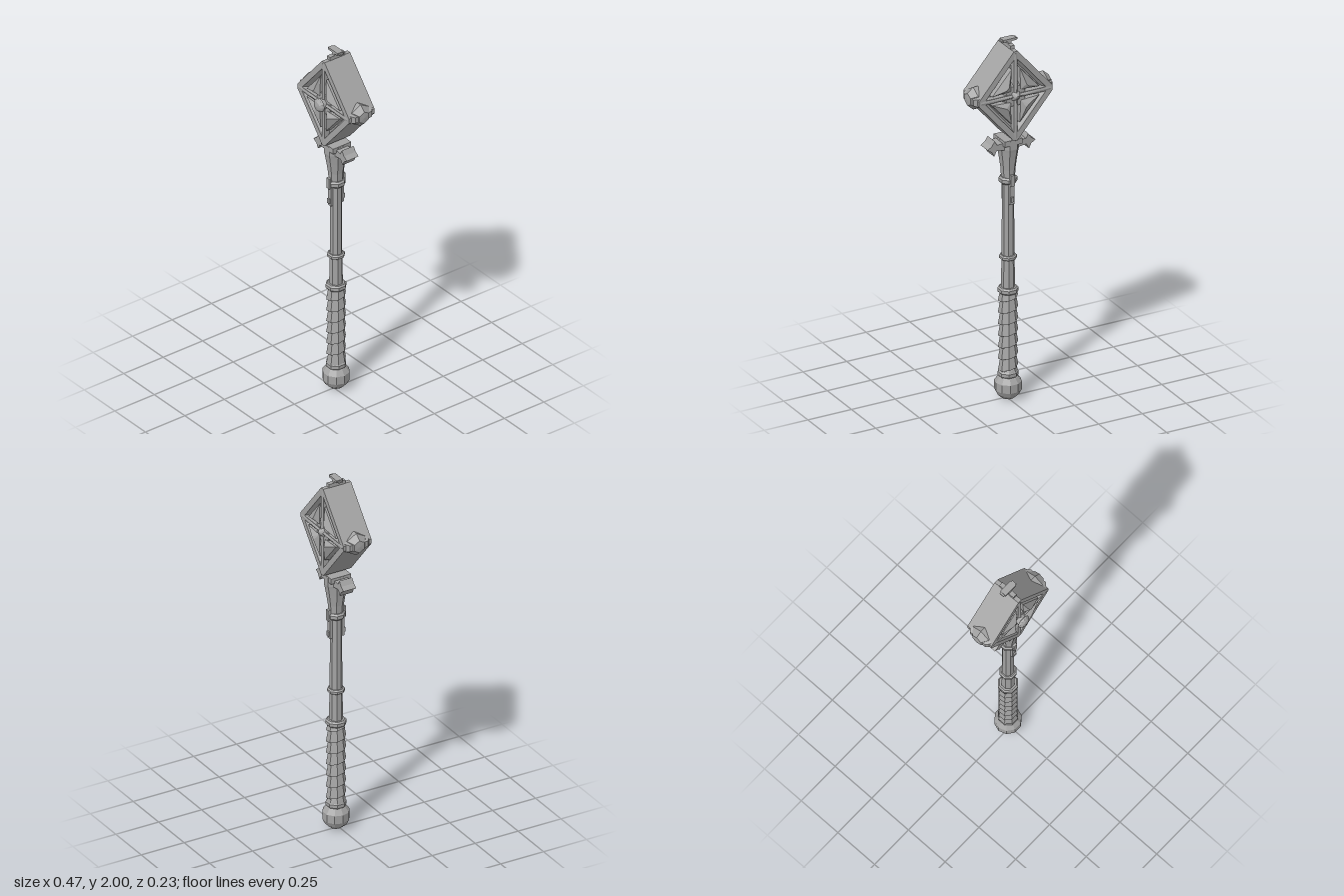
import * as THREE from 'three';
import { ConvexGeometry } from 'three/addons/geometries/ConvexGeometry.js';

const V = (x, y, z) => new THREE.Vector3(x, y, z);
const SIGNS = [1, -1];

export function createModel() {
  const root = new THREE.Group();
  root.name = 'mace';
  root.position.z = -0.014;
  const steel = new THREE.MeshStandardMaterial({ color: 0xa3a3a3, flatShading: true });
  steel.name = 'grey steel';

  const add = (name, geo, x = 0, y = 0, z = 0, parent = root) => {
    const m = new THREE.Mesh(geo, steel);
    m.name = name;
    m.position.set(x, y, z);
    parent.add(m);
    return m;
  };
  const box = (name, w, h, d, x, y, z, parent) =>
    add(name, new THREE.BoxGeometry(w, h, d), x, y, z, parent);
  // faceted turned part from [radius, y] pairs
  const turned = (name, pts, sides = 8) => {
    const g = new THREE.LatheGeometry(pts.map(p => new THREE.Vector2(...p)), sides);
    return add(name, g.rotateY(Math.PI / sides));
  };
  const shape = pts => new THREE.Shape(pts.map(p => new THREE.Vector2(...p)));
  const prism = (s, depth) =>
    new THREE.ExtrudeGeometry(s, { depth, bevelEnabled: false }).translate(0, 0, -depth / 2);

  // pommel, shaft and flared neck
  turned('pommel', [[0, 0], [0.032, 0.008], [0.057, 0.03], [0.07, 0.055],
    [0.07, 0.1], [0.052, 0.125], [0.04, 0.135]], 10);
  turned('lowerShaft', [[0.036, 0.12], [0.036, 0.6], [0.033, 0.79]]);
  turned('upperShaft', [[0.032, 0.78], [0.031, 1.22]]);
  turned('neck', [[0.034, 1.22], [0.037, 1.28], [0.045, 1.34], [0.052, 1.385],
    [0.055, 1.4], [0.055, 1.45], [0, 1.455]]).scale.z = 1.15;

  // bevelled collars
  for (const [y, r, h] of [[0.143, 0.053, 0.036], [0.606, 0.054, 0.034],
    [0.788, 0.046, 0.024], [1.218, 0.048, 0.036]]) {
    turned('collar', [[0.03, y - h / 2], [r - 0.008, y - h / 2], [r, y - h / 4],
      [r, y + h / 4], [r - 0.008, y + h / 2], [0.03, y + h / 2]]);
  }

  // spiral grip wrap: stepped rows that climb one pitch per turn
  const turns = 8, rows = turns * 2 - 1, pitch = 0.45 / (turns - 1);
  const wrap = new THREE.CylinderGeometry(1, 1, 1, 8, rows, true);
  const p = wrap.attributes.position, uv = wrap.attributes.uv;
  for (let i = 0; i < p.count; i++) {
    const row = Math.round(uv.getY(i) * rows), a = uv.getX(i) * Math.PI * 2 + Math.PI / 8;
    const r = row % 2 ? 0.041 : 0.051;
    const k = Math.floor(row / 2) + (row % 2 ? 0.94 : 0);
    const y = 0.15 + (k - 1 + uv.getX(i)) * pitch;
    p.setXYZ(i, Math.sin(a) * r, THREE.MathUtils.clamp(y, 0.15, 0.6), Math.cos(a) * r);
  }
  add('gripWrap', wrap);

  // clips on the front and back of the shaft
  for (const s of SIGNS) {
    box('shaftClip', 0.026, 0.16, 0.016, 0, 1.172, s * 0.034);
    box('clipPeg', 0.016, 0.026, 0.012, 0, 1.12, s * 0.044);
    box('clipTop', 0.022, 0.06, 0.016, 0, 1.225, s * 0.044);
  }

  // cross guard with pointed ends
  for (const s of SIGNS) {
    const arm = shape([[0, 1.385], [0.05, 1.402], [0.085, 1.406], [0.1, 1.378], [0.113, 1.404],
      [0.137, 1.42], [0.113, 1.436], [0.096, 1.462], [0.083, 1.437], [0.05, 1.44], [0, 1.45]]
      .map(([x, y]) => [s * x, y]));
    add('guardArm', prism(arm, 0.074));
  }
  box('guardBlock', 0.1, 0.03, 0.115, 0, 1.44, 0);

  // head: diamond block whose open frame stands proud of a recessed core
  const head = new THREE.Group();
  head.name = 'head';
  head.position.y = 1.71;
  root.add(head);
  const W = 0.222, H = 0.26;
  const diamond = (w, h, c = 0.07) => {
    const pts = [];
    [[w, 0], [0, h], [-w, 0], [0, -h]].forEach((a, i, all) => {
      for (const b of [all[(i + 3) % 4], all[(i + 1) % 4]])
        pts.push([a[0] + (b[0] - a[0]) * c, a[1] + (b[1] - a[1]) * c]);
    });
    return shape(pts);
  };
  const frame = diamond(W, H, 0.05);
  for (const sx of SIGNS) for (const sy of SIGNS) {
    frame.holes.push(new THREE.Path([[0.01, 0.012], [0.172, 0.012], [0.01, 0.202]]
      .map(([x, y]) => new THREE.Vector2(sx * x, sy * y))));
  }
  add('headFrame', prism(frame, 0.162), 0, 0, 0, head);
  add('headCore', prism(diamond(W * 0.96, H * 0.96), 0.1), 0, 0, 0, head);

  for (const f of SIGNS) {
    // inner raised border and ridged cross
    for (const sx of SIGNS) for (const sy of SIGNS) {
      add('borderRidge', new ConvexGeometry([V(sx * 0.19, sy * 0.01, f * 0.05), V(sx * 0.165, 0, f * 0.05),
        V(0, sy * 0.195, f * 0.05), V(sx * 0.01, sy * 0.22, f * 0.05),
        V(sx * 0.18, sy * 0.006, f * 0.076), V(sx * 0.006, sy * 0.21, f * 0.076)]), 0, 0, 0, head);
      // four pointed wedges around the centre
      const q = (x, y, z) => V(sx * x, sy * y, f * z);
      add('faceWedge', new ConvexGeometry([q(0.028, 0.03, 0.045), q(0.14, 0.024, 0.045),
        q(0.024, 0.155, 0.045), q(0.078, 0.09, 0.045), q(0.028, 0.03, 0.08), q(0.135, 0.024, 0.08),
        q(0.024, 0.15, 0.08), q(0.05, 0.064, 0.103), q(0.064, 0.05, 0.103)]), 0, 0, 0, head);
    }
    for (const [x, y] of [[0.2, 0], [-0.2, 0], [0, 0.235], [0, -0.235]]) {
      const n = x ? V(0, 0.011, 0) : V(0.011, 0, 0), e = V(x, y, f * 0.08), c = V(0, 0, f * 0.08);
      add('crossRidge', new ConvexGeometry([e.clone().add(n), e.clone().sub(n), c.clone().add(n),
        c.clone().sub(n), V(x, y, f * 0.083), V(0, 0, f * 0.09)]), 0, 0, 0, head);
    }
    // centre ring and stepped boss
    const ring = new THREE.CylinderGeometry(0.058, 0.072, 0.03, 8).rotateY(Math.PI / 8);
    add('centreRing', ring.rotateX(f * Math.PI / 2), 0, 0, f * 0.064, head);
    const boss = new THREE.CylinderGeometry(0.007, 0.034, 0.03, 8).rotateX(f * Math.PI / 2);
    add('centreBoss', boss, 0, 0, f * 0.088, head);
  }

  // round stud on the front
  const dome = new THREE.LatheGeometry([[0.03, 0], [0.038, 0.003], [0.035, 0.013], [0.024, 0.023], [0, 0.028]]
    .map(a => new THREE.Vector2(...a)), 12);
  add('frontStud', dome.rotateX(Math.PI / 2), 0, 0, 0.099, head);
  add('studBase', new THREE.CylinderGeometry(0.03, 0.03, 0.02, 12).rotateX(Math.PI / 2), 0, 0, 0.09, head);

  // hexagonal studs on the side corners
  for (const s of SIGNS) {
    const stud = new THREE.LatheGeometry([[0, 0.14], [0.05, 0.15], [0.062, 0.175], [0.062, 0.2],
      [0.034, 0.232], [0, 0.235]].map(a => new THREE.Vector2(...a)), 6);
    add('sideStud', stud.rotateY(Math.PI / 6 * 3).rotateZ(-s * Math.PI / 2), 0, 0, 0, head);
    // shallow plates behind the studs
    add('cornerPlate', new ConvexGeometry([-1, 1].flatMap(k => [V(s * 0.17, 0.04, k * 0.071),
      V(s * 0.17, -0.04, k * 0.071), V(s * 0.205, 0.022, k * 0.071), V(s * 0.205, -0.022, k * 0.071),
      V(s * 0.226, 0.016, k * 0.052), V(s * 0.226, -0.016, k * 0.052)])), 0, 0, 0, head);
  }

  // finial on top
  box('finialBase', 0.024, 0.045, 0.095, 0, 1.953, 0);
  box('finialPost', 0.022, 0.04, 0.036, 0, 1.975, 0);
  box('finialBar', 0.074, 0.013, 0.037, 0, 1.9935, 0);
  for (const s of SIGNS) box('finialTip', 0.012, 0.008, 0.026, s * 0.041, 1.992, 0);
  return root;
}
